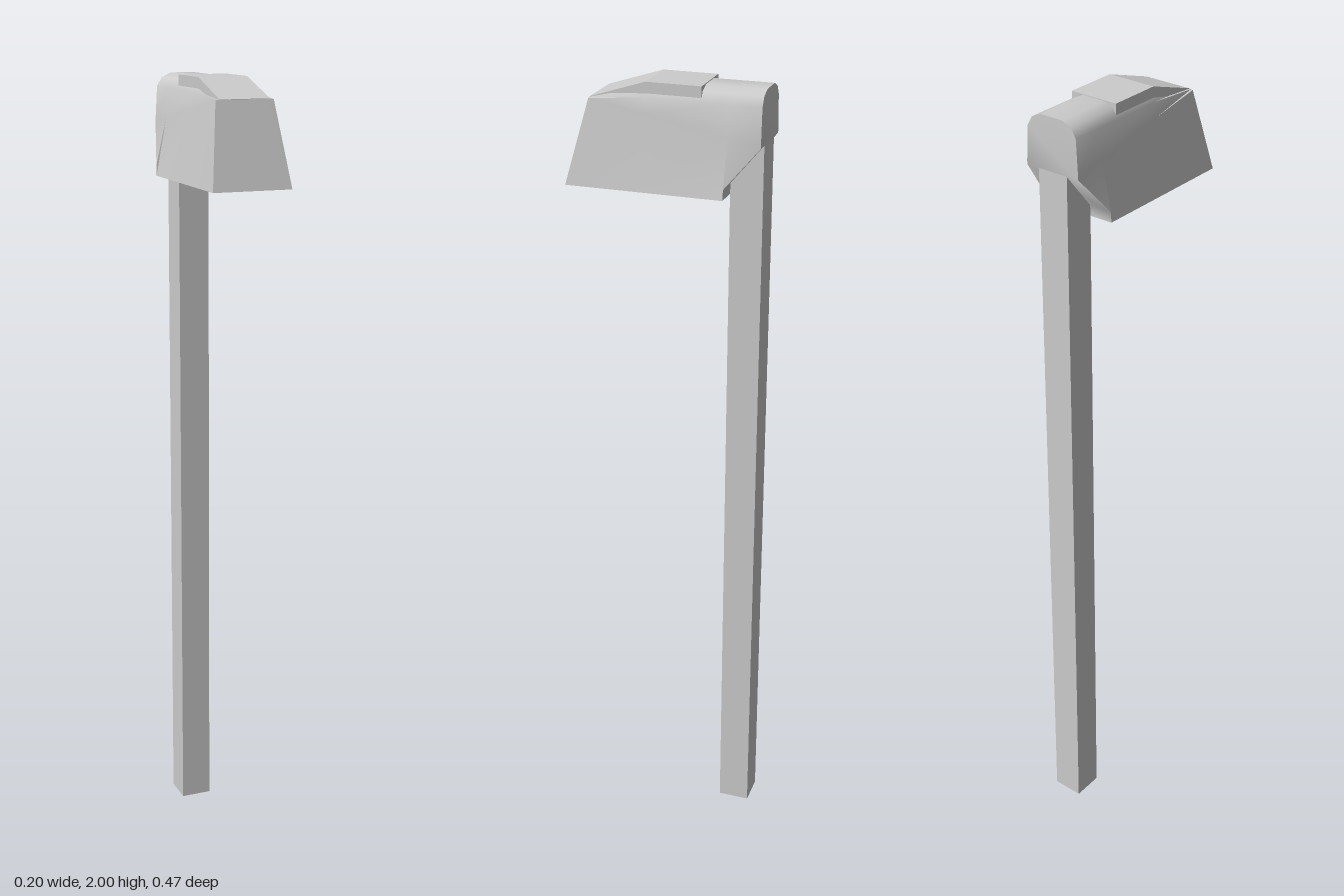
import * as THREE from 'three';
import { toCreasedNormals } from 'three/addons/utils/BufferGeometryUtils.js';

const material = new THREE.MeshStandardMaterial({ color: 0xcccccc, side: THREE.DoubleSide });

function addMesh(group, name, geometry) {
  const mesh = new THREE.Mesh(geometry, material);
  mesh.name = name;
  group.add(mesh);
  return mesh;
}

// Collects polygons as triangle fans
function polygonGeometry(polygons, crease) {
  const positions = [];
  for (const p of polygons) {
    for (let i = 1; i < p.length - 1; i++) positions.push(...p[0], ...p[i], ...p[i + 1]);
  }
  const geometry = new THREE.BufferGeometry();
  geometry.setAttribute('position', new THREE.Float32BufferAttribute(positions, 3));
  return toCreasedNormals(geometry, crease);
}

// Closed cross-section of the head: lower corner, side fold, then rounded roof
function section(z, lower, foldY, roof) {
  const half = [lower, [0.073, foldY, z], ...roof.map(([x, y]) => [x, y, z])];
  const mirrored = half.map(([x, y, zz]) => [-x, y, zz]).reverse();
  return [...half, ...mirrored];
}

function headShell() {
  const dome = [[0.068, 1.965], [0.055, 1.987], [0.03, 1.998]];
  const flat = [[0.068, 1.955], [0.055, 1.955], [0.03, 1.955]];
  const sections = [
    section(0.182, [0.1, 1.75, 0.235], 1.954, flat),
    section(0.045, [0.1, 1.75, 0.045], 1.93, dome),
    section(-0.154, [0.1, 1.75, -0.154], 1.894, dome),
    section(-0.155, [0.1, 1.776, -0.155], 1.894, dome),
    section(-0.235, [0.073, 1.872, -0.235], 1.88, dome),
  ];
  const n = sections[0].length;
  const polygons = [sections[0], [...sections[4]].reverse()];
  for (let s = 0; s < 4; s++) {
    for (let i = 0; i < n; i++) {
      if (i === n - 1 && s < 2) continue; // underside stays open for the recess
      const j = (i + 1) % n;
      polygons.push([sections[s][i], sections[s + 1][i], sections[s + 1][j], sections[s][j]]);
    }
  }
  return polygonGeometry(polygons, 0.75);
}

// Tapered recess in the underside with a flat ceiling
function lampRecess() {
  const corners = (x, y, front, back) => [[x, y, front], [x, y, back], [-x, y, back], [-x, y, front]];
  const rim = corners(0.1, 1.75, 0.235, -0.154);
  const ceiling = corners(0.082, 1.84, 0.19, -0.14);
  const polygons = [[...ceiling].reverse()];
  for (let i = 0; i < 4; i++) {
    const j = (i + 1) % 4;
    polygons.push([rim[i], ceiling[i], ceiling[j], rim[j]]);
  }
  return polygonGeometry(polygons, 0.2);
}

// Bent strip lying on the roof, extruded across x
function roofPanel() {
  const shape = new THREE.Shape();
  [[-0.09, 1.94], [0.182, 1.94], [0.182, 1.956], [0.045, 2], [-0.09, 2]]
    .forEach(([z, y], i) => (i ? shape.lineTo(-z, y) : shape.moveTo(-z, y)));
  const geometry = new THREE.ExtrudeGeometry(shape, { depth: 0.126, bevelEnabled: false });
  return geometry.translate(0, 0, -0.063).rotateY(Math.PI / 2);
}

export function createModel() {
  const group = new THREE.Group();
  group.name = 'streetLamp';

  // Square post, ending inside the head
  const post = addMesh(group, 'post', new THREE.BoxGeometry(0.08, 1.88, 0.08));
  post.position.set(0, 0.94, -0.194);

  const head = new THREE.Group();
  head.name = 'lampHead';
  addMesh(head, 'headShell', headShell());
  addMesh(head, 'lampRecess', lampRecess());
  addMesh(head, 'roofPanel', roofPanel());
  group.add(head);

  return group;
}
